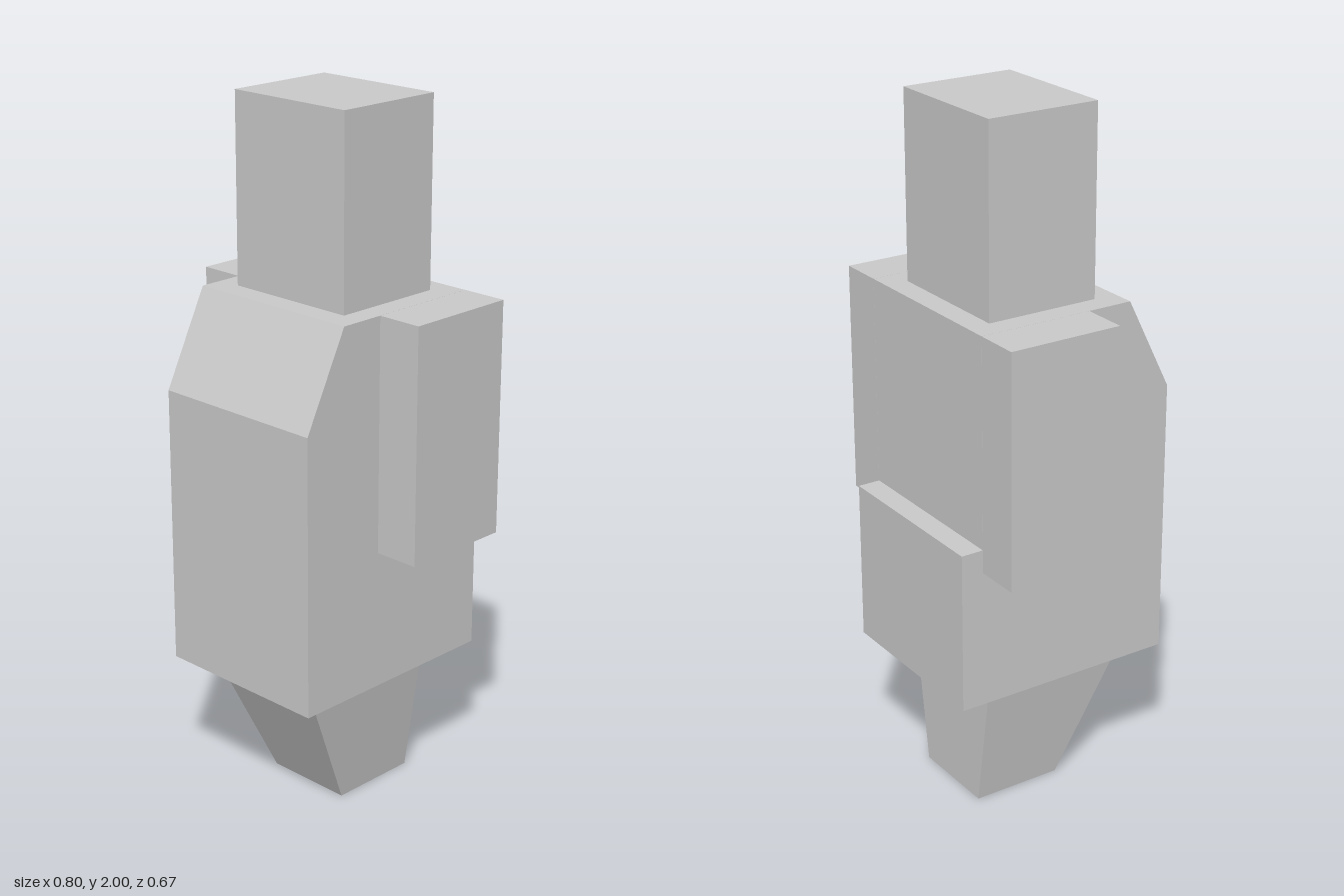
import * as THREE from 'three';

const material = new THREE.MeshStandardMaterial({ color: 0xcccccc, flatShading: true });

function part(name, geometry) {
  const mesh = new THREE.Mesh(geometry, material);
  mesh.name = name;
  return mesh;
}

// Box given by its lowest and highest corner
function block(name, [x0, y0, z0], [x1, y1, z1]) {
  const geometry = new THREE.BoxGeometry(x1 - x0, y1 - y0, z1 - z0);
  geometry.translate((x0 + x1) / 2, (y0 + y1) / 2, (z0 + z1) / 2);
  return part(name, geometry);
}

// Side profile (z, y) extruded across the width
function createBody() {
  const width = 0.533;
  const profile = [
    [0.333, 0.4], [0.333, 1.2], [0.2, 1.467], [-0.267, 1.467],
    [-0.267, 0.867], [-0.333, 0.867], [-0.333, 0.4],
  ];
  const shape = new THREE.Shape(profile.map(([z, y]) => new THREE.Vector2(z, y)));
  const geometry = new THREE.ExtrudeGeometry(shape, { depth: width, bevelEnabled: false });
  geometry.rotateY(-Math.PI / 2).translate(width / 2, 0, 0);
  return part('body', geometry);
}

// Tapered base: sides and front slope inward, back stays upright
function createBase() {
  const geometry = new THREE.BoxGeometry(2, 0.4, 1).translate(0, 0.2, 0);
  const pos = geometry.attributes.position;
  for (let i = 0; i < pos.count; i++) {
    const top = pos.getY(i) > 0.2;
    const front = pos.getZ(i) > 0;
    pos.setX(i, pos.getX(i) * (top ? 0.193 : 0.133));
    pos.setZ(i, front ? (top ? 0.25 : 0.067) : -0.2);
  }
  geometry.computeVertexNormals();
  return part('taperedBase', geometry);
}

export function createModel() {
  const model = new THREE.Group();
  model.name = 'model';
  model.add(
    createBase(),
    createBody(),
    block('topBlock', [-0.2, 1.467, -0.2], [0.2, 2, 0.133]),
    block('leftSideBlock', [0.267, 0.8, -0.267], [0.4, 1.467, 0.067]),
    block('rightSideBlock', [-0.4, 0.8, -0.267], [-0.267, 1.467, 0.067]),
  );
  return model;
}
